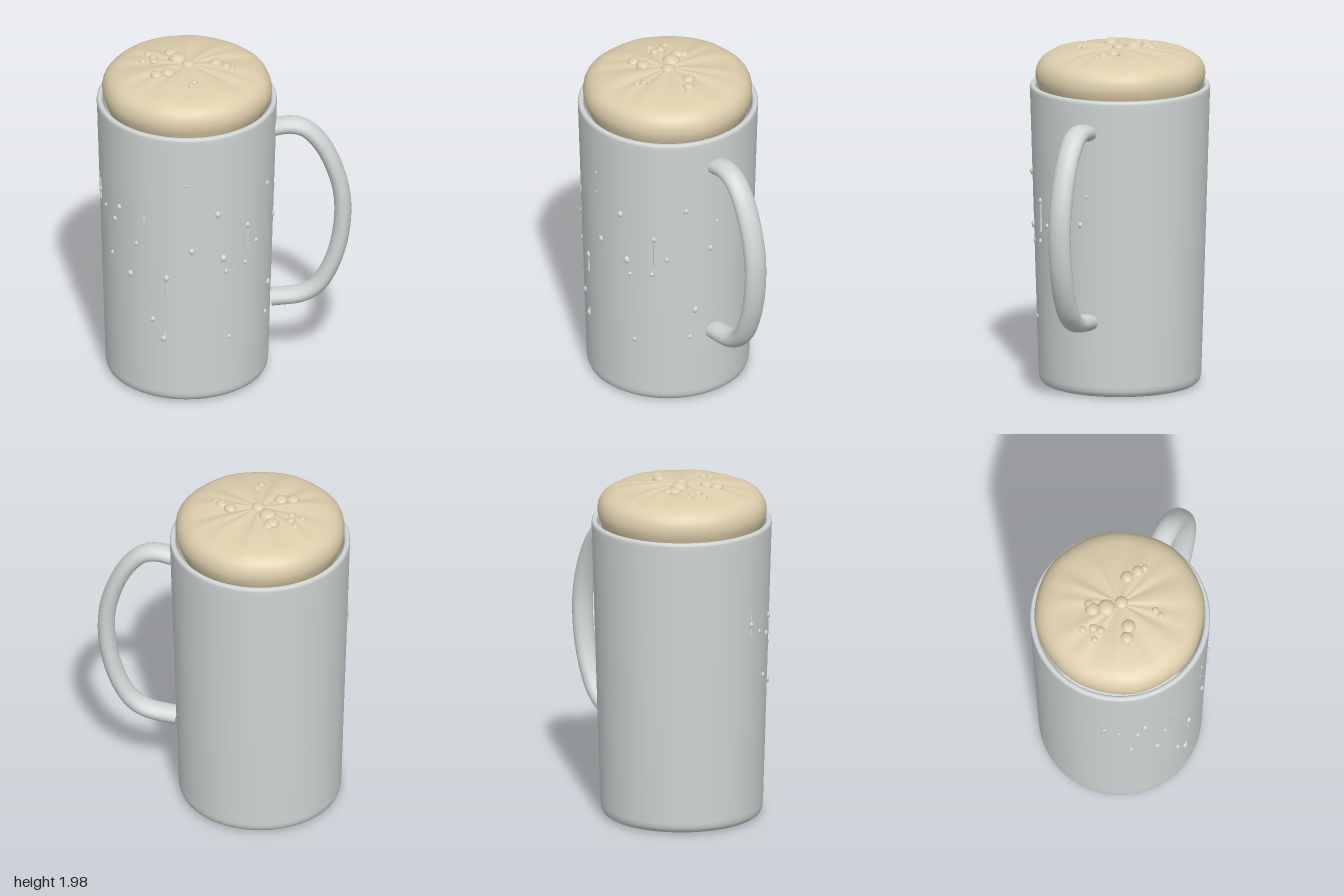
import * as THREE from 'three';
import { mergeVertices } from 'three/addons/utils/BufferGeometryUtils.js';

const CX = -0.215; // axis of the mug body
const V2 = (p) => new THREE.Vector2(p[0], p[1]);
const V3 = (p) => new THREE.Vector3(p[0], p[1], 0);
const mugRadius = (y) => 0.465 + 0.05 * (y - 0.05) / 1.69;

// Height of the foam dome at a distance from the axis
const foamHeight = (r) => 1.967 - 0.15 * r * r - 0.5 * Math.pow(r, 4) * (r > 0.3 ? 1.3 : 1);

export function createModel() {
  const group = new THREE.Group();
  const mat = (name, color, side = THREE.FrontSide) => {
    const m = new THREE.MeshStandardMaterial({ color, side });
    m.name = name;
    return m;
  };
  const glass = mat('pale grey glass', 0xd0d6d5);
  const foamMat = mat('cream foam', 0xdccdab);
  const water = mat('water drops', 0xd3d9d9);
  const add = (name, geo, material, parent = group) => {
    const mesh = new THREE.Mesh(geo, material);
    mesh.name = name;
    parent.add(mesh);
    return mesh;
  };

  // Tapered mug body with rounded base, rounded rim and inner wall
  const mugProfile = [
    [0, 0.008], [0.405, 0.008], [0.415, 0.008], [0.437, 0.013], [0.453, 0.025], [0.462, 0.045], [0.465, 0.07],
    [0.49, 0.9], [0.514, 1.7], [0.516, 1.735], [0.514, 1.748], [0.506, 1.755], [0.492, 1.755],
    [0.484, 1.748], [0.48, 1.73], [0.43, 0.12], [0.4, 0.09], [0, 0.09],
  ].map(V2);
  add('mugBody', new THREE.LatheGeometry(mugProfile, 64), glass).position.x = CX;

  // Foam dome, with soft creases running out from the centre
  const foamProfile = [[0, 1.70], [0.45, 1.70], [0.468, 1.745], [0.476, 1.765], [0.483, 1.79], [0.486, 1.815],
    [0.482, 1.845], [0.472, 1.87], [0.458, 1.89], [0.438, 1.907]];
  for (let i = 15; i >= 0; i--) {
    const r = 0.41 * i / 15;
    foamProfile.push([r, foamHeight(r)]);
  }
  const foamGeo = new THREE.LatheGeometry(foamProfile.map(V2), 96);
  const pos = foamGeo.attributes.position;
  for (let i = 0; i < pos.count; i++) {
    const x = pos.getX(i), y = pos.getY(i), z = pos.getZ(i);
    const r = Math.hypot(x, z), a = Math.atan2(z, x);
    if (y < 1.72) continue;
    const crease = Math.sin(7 * a + 1) + 0.7 * Math.sin(13 * a + 2.3) + 0.5 * Math.sin(19 * a);
    const fade = Math.sin(Math.PI * Math.min(1, r / 0.47));
    const swell = 1 + 0.006 * Math.sin(3 * a + 0.6) + 0.005 * Math.sin(8 * a);
    pos.setXYZ(i, x * swell, y + (y > 1.88 ? 0.004 * crease * fade : 0), z * swell);
  }
  foamGeo.deleteAttribute('uv');
  foamGeo.deleteAttribute('normal');
  const foamSmooth = mergeVertices(foamGeo, 1e-4);
  foamSmooth.computeVertexNormals();
  add('foam', foamSmooth, foamMat).position.x = CX;

  // Bubbles resting on the foam: x, z, radius
  const ball = new THREE.SphereGeometry(1, 20, 14);
  const bubbles = [
    [-0.205, 0.005, 0.04], [-0.27, -0.06, 0.053], [-0.31, -0.13, 0.042], [-0.29, -0.16, 0.03],
    [-0.32, 0.1, 0.042], [-0.385, 0.12, 0.038], [-0.05, -0.03, 0.038], [0.01, 0.01, 0.034],
    [-0.44, -0.13, 0.024], [-0.41, -0.08, 0.025], [-0.405, -0.035, 0.024], [-0.47, -0.045, 0.02],
    [0.045, 0.035, 0.022], [-0.165, 0.2, 0.02], [-0.18, 0.24, 0.02],
  ];
  for (const [x, z, r] of bubbles) {
    const b = add('foamBubble', ball, foamMat);
    b.position.set(x, foamHeight(Math.hypot(x - CX, z)) - 0.15 * r, z);
    b.scale.set(r, r * 0.65, r);
  }

  // Handle: oval tube, wider sideways, with flat ends
  const handle = new THREE.Group();
  handle.name = 'handle';
  const path = new THREE.CatmullRomCurve3([
    [0.275, 1.562], [0.38, 1.58], [0.46, 1.56], [0.55, 1.47], [0.635, 1.29], [0.675, 1.1],
    [0.665, 0.88], [0.615, 0.69], [0.54, 0.55], [0.45, 0.483], [0.268, 0.452],
  ].map(V3));
  add('handleTube', new THREE.TubeGeometry(path, 48, 0.049, 16), glass, handle);
  for (const t of [0, 1]) {
    const cap = add('handleEnd', new THREE.CircleGeometry(0.049, 16), glass, handle);
    const p = path.getPoint(t);
    cap.position.copy(p);
    cap.lookAt(p.clone().addScaledVector(path.getTangent(t), t ? 1 : -1));
  }
  handle.scale.z = 1.36;
  group.add(handle);

  // Places a small flattened shape on the front wall of the mug
  const onWall = (name, geo, x, y, sx, sy, sz) => {
    const r = mugRadius(y);
    const a = Math.asin(THREE.MathUtils.clamp((x - CX) / r, -1, 1));
    const m = add(name, geo, water);
    m.position.set(CX + r * Math.sin(a), y, r * Math.cos(a));
    m.rotation.y = a;
    m.scale.set(sx, sy, sz);
  };

  // Water drops: x, y, radius
  const dropGeo = new THREE.SphereGeometry(1, 12, 10);
  const drops = [
    [-0.2, 1.445, 0.008], [-0.205, 1.31, 0.006], [-0.022, 1.24, 0.017], [-0.59, 1.205, 0.016],
    [-0.445, 1.2, 0.007], [-0.615, 1.11, 0.014], [-0.49, 1.015, 0.012], [-0.17, 1.01, 0.016],
    [-0.63, 0.87, 0.013], [-0.525, 0.8, 0.017], [-0.315, 0.825, 0.017], [0.145, 1.11, 0.014],
    [0.01, 0.94, 0.019], [0.025, 0.85, 0.012], [0.13, 0.87, 0.013], [0.19, 0.975, 0.013],
    [0.25, 1.3, 0.013], [0.285, 1.19, 0.009], [0.277, 1.02, 0.014], [0.25, 0.62, 0.017],
    [0.236, 0.44, 0.012], [0.04, 0.41, 0.012], [-0.395, 0.54, 0.015], [-0.332, 0.423, 0.017],
    [-0.323, 0.448, 0.009], [-0.7, 1.21, 0.015], [-0.67, 1.15, 0.011],
  ];
  for (const [x, y, r] of drops) onWall('waterDrop', dropGeo, x, y, r, r * 1.2, r * 0.8);

  // Thin running trails: x, centre y, length
  const trailGeo = new THREE.CylinderGeometry(1, 1, 1, 8);
  const trails = [[0.145, 1.015, 0.17], [-0.315, 0.765, 0.1], [-0.445, 1.185, 0.03], [-0.7, 1.21, 0.13]];
  for (const [x, y, len] of trails) onWall('waterTrail', trailGeo, x, y, 0.007, len, 0.008);

  return group;
}
